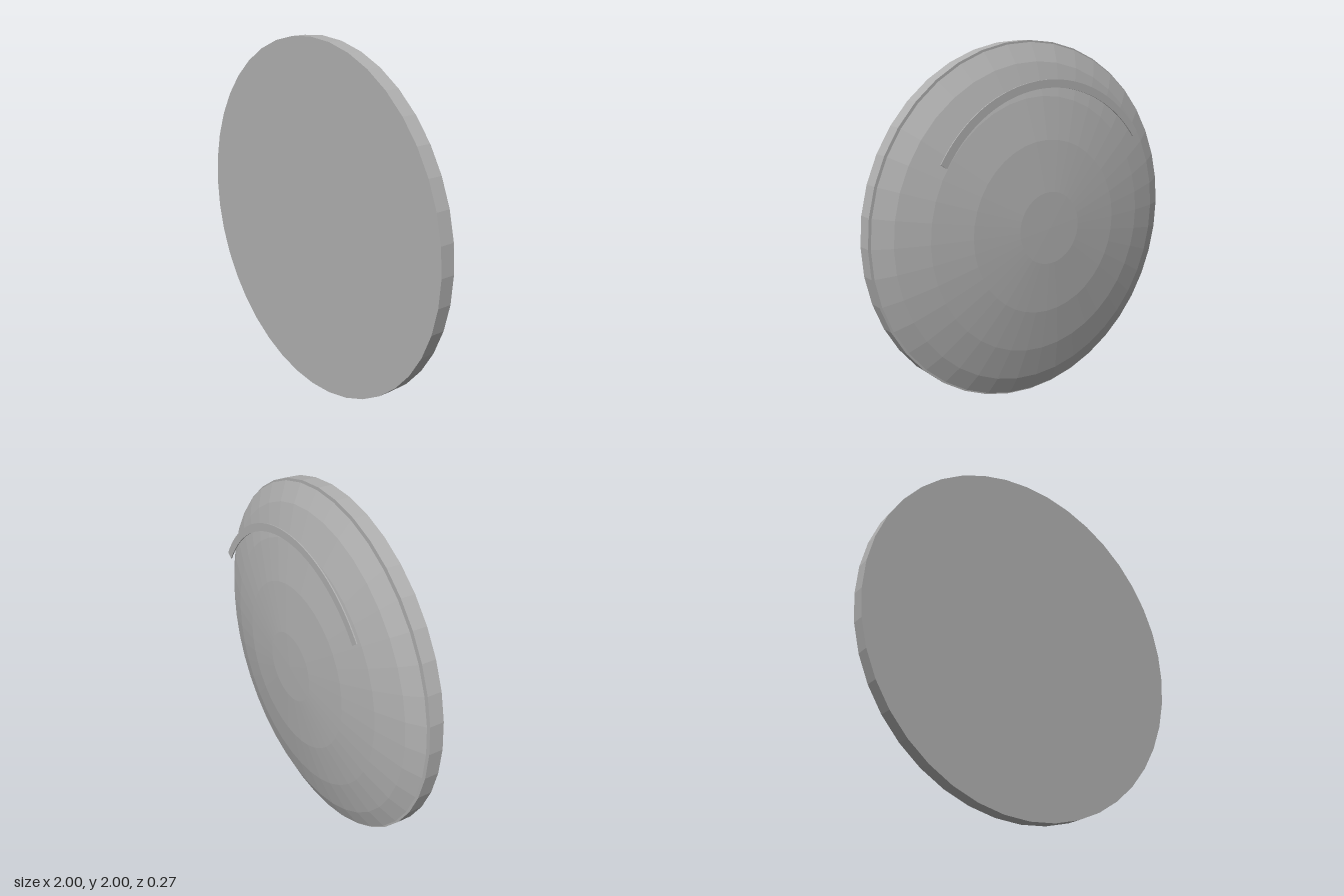
import * as THREE from 'three';

const SIDES = 40;

export function createModel() {
  const model = new THREE.Group();
  const grey = new THREE.MeshStandardMaterial({ color: 0xb0b0b0, flatShading: true });
  grey.name = 'grey';

  const add = (name, geometry, y, z) => {
    const mesh = new THREE.Mesh(geometry, grey);
    mesh.name = name;
    mesh.position.set(0, y, z);
    model.add(mesh);
  };

  // Flat front disc
  const disc = new THREE.CylinderGeometry(1, 1, 0.081, SIDES);
  disc.rotateX(Math.PI / 2);
  add('frontDisc', disc, 1, 0.0935);

  // Shallow faceted dome bulging to the back, a hair behind the disc
  const profile = [
    [0, -0.042], [0.99, -0.042], [0.89, 0.008], [0.71, 0.06],
    [0.48, 0.101], [0.2, 0.125], [0, 0.128],
  ].map(([r, h]) => new THREE.Vector2(r, h));
  const dome = new THREE.LatheGeometry(profile, SIDES);
  dome.rotateX(-Math.PI / 2);
  add('backDome', dome, 1, 0);

  // Thin curved strip floating over the upper part of the dome
  const start = THREE.MathUtils.degToRad(31);
  const end = THREE.MathUtils.degToRad(142.6);
  const arc = new THREE.Shape();
  arc.absarc(0, 0, 0.8, start, end, false);
  arc.absarc(0, 0, 0.757, end, start, true);
  arc.closePath();
  const strip = new THREE.ExtrudeGeometry(arc, { depth: 0.006, bevelEnabled: false, curveSegments: 24 });
  add('curvedStrip', strip, 1, -0.134);

  return model;
}
